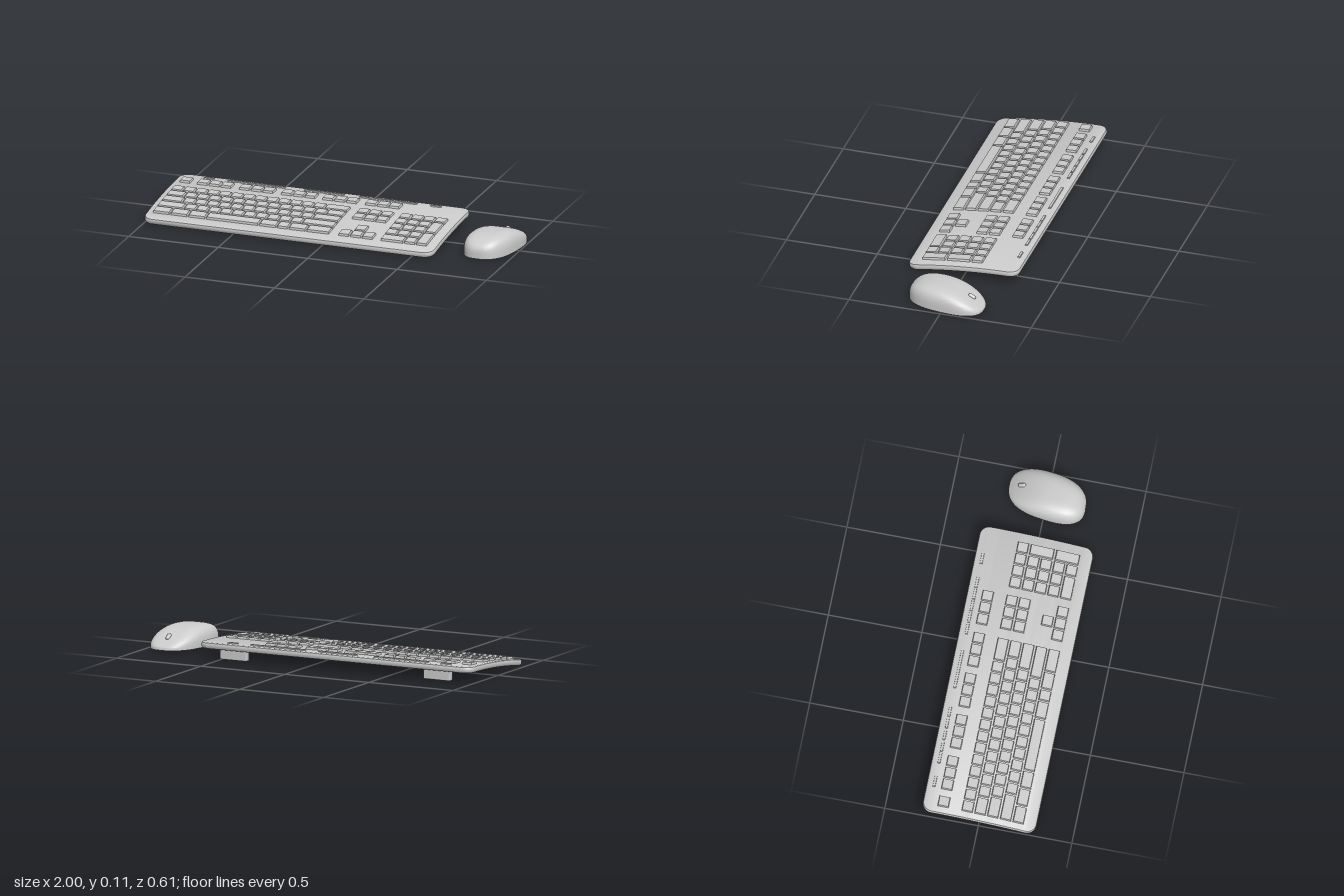
import * as THREE from 'three';
import { toCreasedNormals } from 'three/addons/utils/BufferGeometryUtils.js';
import { RoundedBoxGeometry } from 'three/addons/geometries/RoundedBoxGeometry.js';

const material = new THREE.MeshStandardMaterial({ color: 0xcccccc });

function addMesh(parent, name, geometry, x = 0, y = 0, z = 0) {
  const mesh = new THREE.Mesh(geometry, material);
  mesh.name = name;
  mesh.position.set(x, y, z);
  parent.add(mesh);
  return mesh;
}

// Skin over closed rings of [x, y, z], counter-clockwise seen from +z, stacked along +z.
// Each ring is mirrored end to end, so the caps are strips between opposite points.
function loft(rings, crease) {
  const n = rings[0].length, index = [];
  for (let i = 0; i < rings.length - 1; i++) {
    for (let j = 0; j < n; j++) {
      const a = i * n + j, b = i * n + (j + 1) % n;
      index.push(a, b, a + n, b, b + n, a + n);
    }
  }
  const last = (rings.length - 1) * n;
  for (let j = 0; j < n / 2 - 1; j++) {
    const a = j, b = j + 1, c = n - 1 - j, d = n - 2 - j;
    index.push(a, d, b, a, c, d);
    index.push(last + a, last + b, last + d, last + a, last + d, last + c);
  }
  const geometry = new THREE.BufferGeometry();
  geometry.setAttribute('position', new THREE.Float32BufferAttribute(rings.flat(2), 3));
  geometry.setIndex(index);
  return toCreasedNormals(geometry, crease);
}

// The keyboard is a slab bent along z: level at the back, sloping down to the front.
const BEND = 0.144, THICK = 0.034;
const lean = z => 2 * BEND * (z + 0.3);
const bend = (x, z, d) => [x, 0.056 - BEND * (z + 0.3) ** 2 + d, z + d * lean(z)];

function slabGeometry() {
  const hx = 0.81, hz = 0.301, r = 0.05, cx = -0.19, cz = -0.004;
  const layers = [[0.012, 0], [0.004, 0.003], [0, 0.01], [0, 0.024], [0.003, 0.031], [0.01, THICK]];
  const stations = [];
  for (let i = 0; i <= 8; i++) {
    const a = (i / 8) * Math.PI / 2;
    stations.push([-(hz - r) - r * Math.cos(a), hx - r + r * Math.sin(a)]);
  }
  for (let i = 1; i < 16; i++) stations.push([(hz - r) * (i / 8 - 1), hx]);
  for (let i = 8; i >= 0; i--) stations.push([-stations[i][0], stations[i][1]]);
  const rings = stations.map(([s, w]) => {
    const side = sign => layers.map(([inset, d]) =>
      bend(cx + sign * (w - inset), cz + s * (hz - inset) / hz, d));
    return [...side(1), ...side(-1).reverse()];
  });
  return loft(rings, 0.7);
}

// Key cap: a box whose top edges are drawn inwards, set square to the bent surface.
function addKey(parent, name, x, z, width, depth, height, taper = 0.004) {
  const geometry = new THREE.BoxGeometry(width, height + 0.006, depth);
  const p = geometry.attributes.position;
  for (let i = 0; i < p.count; i++) {
    if (p.getY(i) > 0) {
      p.setX(i, p.getX(i) - Math.sign(p.getX(i)) * taper);
      p.setZ(i, p.getZ(i) - Math.sign(p.getZ(i)) * taper);
    }
  }
  geometry.computeVertexNormals();
  const mesh = addMesh(parent, name, geometry, ...bend(x, z, THICK + height / 2 - 0.003));
  mesh.rotation.x = Math.atan(lean(z));
}

function createKeyboard() {
  const keyboard = new THREE.Group();
  keyboard.name = 'keyboard';
  addMesh(keyboard, 'keyboardBody', slabGeometry());

  const U = 0.0661, GAP = 0.006, H = 0.012;
  const rowZ = [-0.07, -0.002, 0.065, 0.133, 0.2];
  const keyRow = (name, startX, z, widths, rows = 1) => {
    let x = startX;
    for (const w of widths) {
      addKey(keyboard, name, x + w * U / 2 - GAP / 2, z, w * U - GAP, rows * 0.067 - GAP, H);
      x += w * U;
    }
  };
  const ones = n => Array(n).fill(1);

  // Main typing block
  [
    [...ones(13), 2],
    [1.5, ...ones(12), 1.5],
    [1.75, ...ones(11), 2.25],
    [2.25, ...ones(10), 2.75],
    [1.5, 1.5, 1.5, 4.5, 1.5, 1, 1.5, 2],
  ].forEach((widths, i) => keyRow('typingKey', -0.965, rowZ[i], widths));

  // Separate top row: one single key, then groups of three
  keyRow('topRowKey', -0.965, -0.197, [1]);
  for (const x of [-0.868, -0.633, -0.398, -0.167, 0.072]) keyRow('topRowKey', x, -0.197, ones(3));

  // Navigation and arrow keys
  for (const i of [0, 1]) keyRow('navigationKey', 0.072, rowZ[i], ones(3));
  keyRow('arrowKey', 0.072 + U, rowZ[3], [1]);
  keyRow('arrowKey', 0.072, rowZ[4], ones(3));

  // Number pad with two tall keys on its right
  keyRow('numberKey', 0.308, rowZ[0], ones(4));
  for (const i of [1, 2, 3]) keyRow('numberKey', 0.308, rowZ[i], ones(3));
  keyRow('numberKey', 0.308, rowZ[4], [2, 1]);
  for (const i of [1, 3]) keyRow('tallNumberKey', 0.308 + 3 * U, (rowZ[i] + rowZ[i + 1]) / 2, [1], 2);

  // Slim media buttons along the back edge
  const mediaButton = (x, width) => addKey(keyboard, 'mediaButton', x, -0.265, width, 0.016, 0.006, 0.002);
  mediaButton(-0.834, 0.06);
  mediaButton(-0.19, 0.226);
  mediaButton(0.434, 0.06);
  for (const start of [-0.7, 0.034]) {
    for (let i = 0; i < 5; i++) mediaButton(start + i * U, 0.061);
  }

  // Rear feet
  for (const x of [-0.78, 0.43]) {
    addMesh(keyboard, 'foot', new RoundedBoxGeometry(0.16, 0.06, 0.034, 3, 0.007), x, 0.031, -0.257);
  }
  return keyboard;
}

// Mouse top line along z: steep round back, long slope to the front
function mouseHeight(z) {
  if (z > 0.04) return 0.03 + 0.081 * Math.sqrt(1 - ((z - 0.04) / 0.17) ** 2.6);
  return 0.012 + 0.099 * (1 - ((0.04 - z) / 0.25) ** 2) ** 0.95;
}
const mouseCentre = z => 0.865 - 0.13 * z;

function createMouse() {
  const mouse = new THREE.Group();
  mouse.name = 'mouse';
  const rings = [], steps = 48, sides = 40;
  for (let i = 0; i <= steps; i++) {
    const t = 0.999 * Math.sin((i / steps - 0.5) * Math.PI);
    const z = 0.21 * t, h = mouseHeight(z);
    const w = 0.126 * (1 - Math.abs(t) ** 2.6) ** (1 / 2.6);
    const ring = [];
    for (let j = 0; j < sides; j++) {
      const a = (j / (sides - 1)) * Math.PI, c = Math.cos(a);
      ring.push([
        mouseCentre(z) + w * Math.sign(c) * Math.abs(c) ** 0.56,
        0.005 + h * Math.abs(Math.sin(a)) ** 0.56,
        z,
      ]);
    }
    rings.push(ring);
  }
  addMesh(mouse, 'mouseBody', loft(rings, 0.9));

  // Scroll wheel, mostly sunk into the shell
  const wheel = new THREE.CapsuleGeometry(0.011, 0.022, 6, 16).rotateX(Math.PI / 2);
  const wheelMesh = addMesh(mouse, 'scrollWheel', wheel, 0.885, mouseHeight(-0.14) + 0.006, -0.14);
  wheelMesh.rotation.x = -0.5;
  return mouse;
}

export function createModel() {
  const model = new THREE.Group();
  model.name = 'keyboardAndMouse';
  model.add(createKeyboard(), createMouse());
  return model;
}
